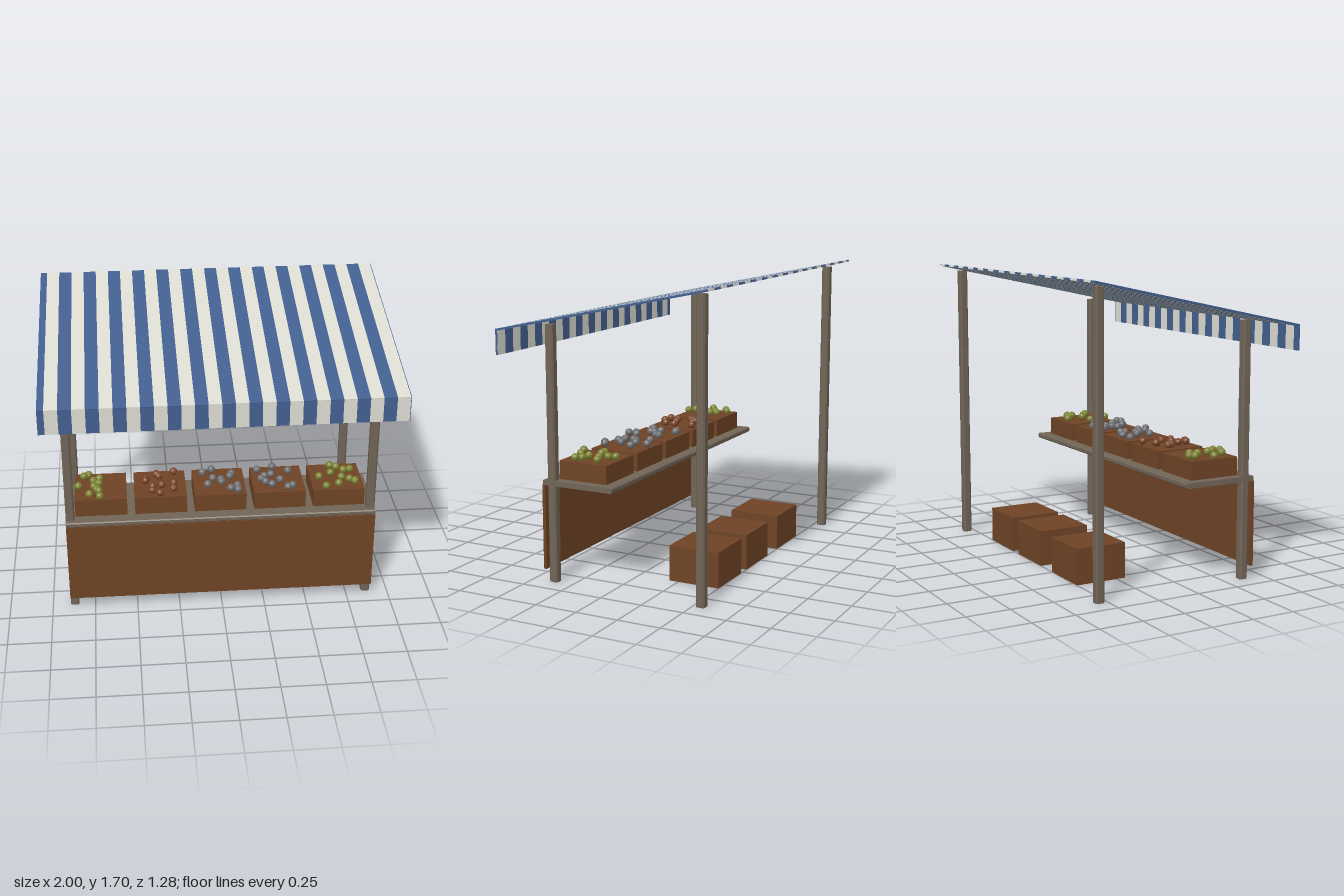
import * as THREE from 'three';

const mat = (name, color) => {
  const m = new THREE.MeshStandardMaterial({ color });
  m.name = name;
  return m;
};

export function createModel() {
  const stall = new THREE.Group();
  stall.name = 'marketStall';
  const wood = mat('greyWood', 0x706456);
  const brown = mat('brownWood', 0x6e4325);
  const white = mat('whiteCanvas', 0xdddcd3);
  const blue = mat('blueCanvas', 0x43608f);
  const green = mat('greenFruit', 0x7c8232);
  const red = mat('redBrownFruit', 0x7a4428);
  const grey = mat('greyFruit', 0x6e6d70);

  const add = (name, geometry, material, x, y, z, parent = stall) => {
    const m = new THREE.Mesh(geometry, material);
    m.name = name;
    m.position.set(x, y, z);
    parent.add(m);
    return m;
  };
  const box = (name, material, w, h, d, x, y, z, parent) =>
    add(name, new THREE.BoxGeometry(w, h, d), material, x, y, z, parent);

  // Beam along z with chamfered long edges, centred
  const beam = (w, h, length, c) => {
    const a = w / 2, b = h / 2;
    const s = new THREE.Shape([
      [a - c, -b], [a, -b + c], [a, b - c], [a - c, b],
      [-a + c, b], [-a, b - c], [-a, -b + c], [-a + c, -b],
    ].map(([x, y]) => new THREE.Vector2(x, y)));
    return new THREE.ExtrudeGeometry(s, { depth: length, bevelEnabled: false })
      .translate(0, 0, -length / 2);
  };

  // Four posts, the rear pair taller
  for (const side of [-1, 1]) {
    for (const [name, z, h] of [['frontPost', 0.37, 1.45], ['rearPost', -0.545, 1.66]]) {
      add(name, beam(0.05, 0.05, h, 0.008).rotateX(-Math.PI / 2), wood, side * 0.87, h / 2, z);
    }
  }

  // Counter board and its front panel
  add('counter', beam(0.44, 0.03, 1.79, 0.006).rotateY(Math.PI / 2), wood, 0, 0.57, 0.205);
  box('frontPanel', brown, 1.79, 0.485, 0.018, 0, 0.313, 0.42);

  // Striped awning: sloping roof and hanging valance share the same stripes
  const roof = new THREE.Group();
  roof.name = 'awningRoof';
  roof.position.set(0, 1.555, 0);
  roof.rotation.x = Math.atan2(0.275, 1.28);
  const valance = new THREE.Group();
  valance.name = 'awningValance';
  stall.add(roof, valance);
  const stripe = 0.0726, length = 1.307;
  for (let i = 0; i < 28; i++) {
    const start = Math.max(-1, -1.0352 + i * stripe);
    const end = Math.min(1, -1.0352 + (i + 1) * stripe);
    if (end - start < 0.001) continue;
    const colour = i % 2 ? white : blue;
    const x = (start + end) / 2;
    box('roofStripe', colour, end - start, 0.012, length, x, 0, 0, roof);
    box('valanceStripe', colour, end - start, 0.14, 0.012, x, 1.35, 0.634, valance);
  }
  // Blue edging at the end of the canvas
  box('roofEdge', blue, 0.002, 0.012, length, 1, 0, 0, roof);
  box('valanceEdge', blue, 0.002, 0.14, 0.012, 1, 1.35, 0.634, valance);

  // Seeded numbers for scattering the fruit
  let seed = 11;
  const rand = () => (seed = (seed * 16807) % 2147483647) / 2147483647;
  for (let i = 0; i < 5; i++) rand();

  const fruit = new THREE.IcosahedronGeometry(0.023, 1);
  fruit.computeVertexNormals();

  // Display crates: centre, fruit colour, fruit range in x
  const crates = [
    [-0.69, green, -0.82, -0.67],
    [-0.345, red, -0.45, -0.25],
    [0, grey, -0.09, 0.12],
    [0.345, grey, 0.23, 0.45],
    [0.69, green, 0.59, 0.81],
  ];
  for (const [x, colour, from, to] of crates) {
    box('displayCrate', brown, 0.3, 0.105, 0.3, x, 0.6375, 0.2);
    for (let i = 0; i < 11; i++) {
      const f = add('fruit', fruit, colour,
        from + (to - from) * rand(), 0.703 + 0.01 * rand(), 0.08 + 0.024 * (i + rand() * 0.5));
      f.rotation.set(rand() * 3, rand() * 3, 0);
    }
  }

  // Storage crates on the ground behind the counter
  for (const x of [-0.395, 0.05, 0.422]) {
    box('storageCrate', brown, 0.3, 0.205, 0.305, x, 0.1025, -0.347);
  }
  return stall;
}
